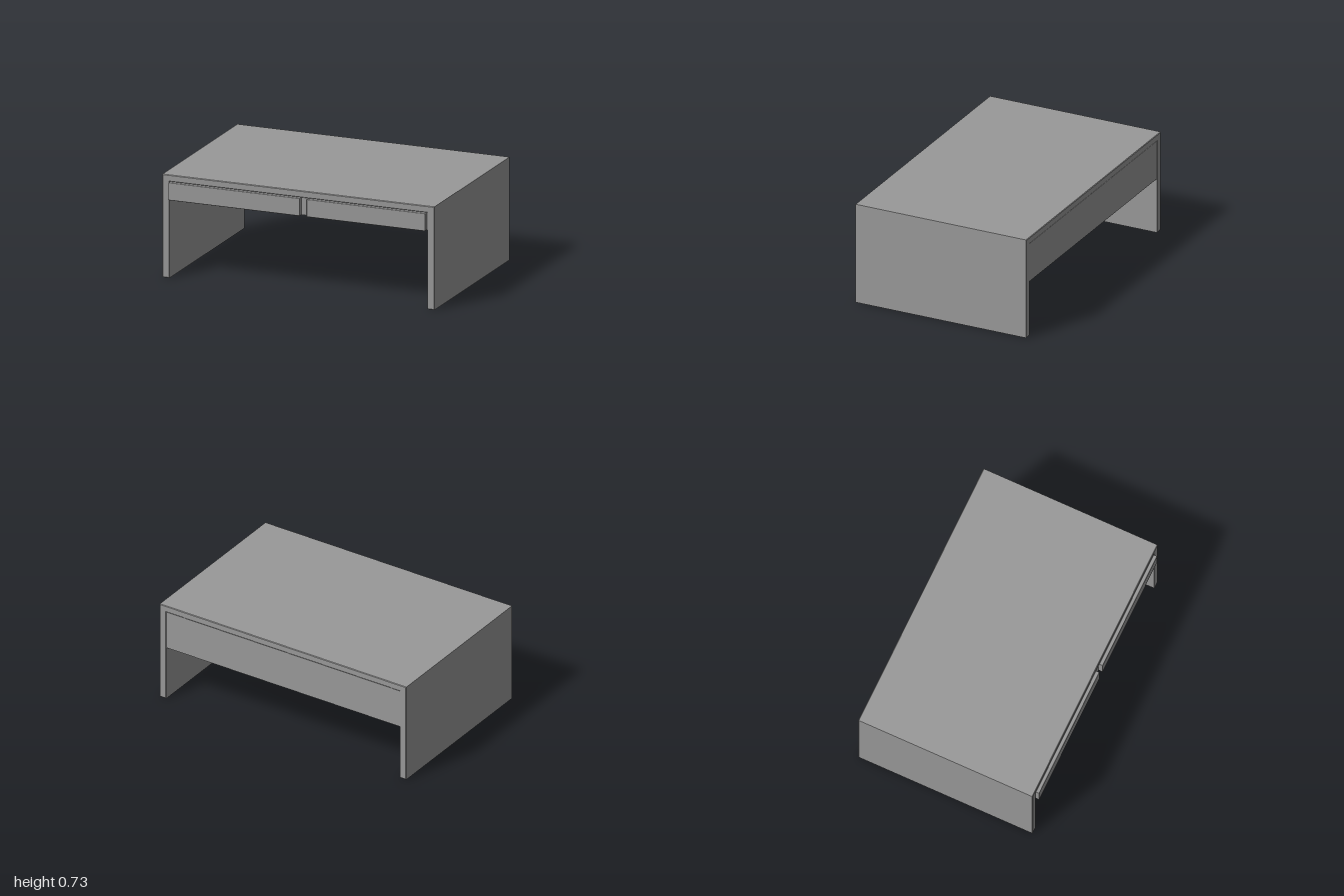
import * as THREE from 'three';
import { RoundedBoxGeometry } from 'three/addons/geometries/RoundedBoxGeometry.js';

export function createModel() {
  const group = new THREE.Group();
  const grey = new THREE.MeshStandardMaterial({ color: 0x999999 });
  grey.name = 'grey';

  const add = (name, geometry) => {
    const mesh = new THREE.Mesh(geometry, grey);
    mesh.name = name;
    group.add(mesh);
  };
  // Box given by its extents, with softened edges where bevel > 0
  const panel = (name, [x0, x1], [y0, y1], [z0, z1], bevel = 0) => {
    const size = [x1 - x0, y1 - y0, z1 - z0];
    const geometry = bevel
      ? new RoundedBoxGeometry(...size, 2, bevel)
      : new THREE.BoxGeometry(...size);
    geometry.translate((x0 + x1) / 2, (y0 + y1) / 2, (z0 + z1) / 2);
    add(name, geometry);
  };

  // Top and side panels as one bevelled arch, extruded front to back
  const b = 0.004, h = 0.727, inner = 0.947, under = 0.68;
  const arch = new THREE.Shape([
    [-1 + b, b], [-inner - b, b], [-inner - b, under + b], [inner + b, under + b],
    [inner + b, b], [1 - b, b], [1 - b, h - b], [-1 + b, h - b],
  ].map(([x, y]) => new THREE.Vector2(x, y)));
  const body = new THREE.ExtrudeGeometry(arch, {
    depth: 1.3 - 2 * b, bevelEnabled: true, bevelSize: b, bevelThickness: b, bevelSegments: 1,
  });
  body.translate(0, 0, -0.662 + b);
  add('topAndSides', body);

  // Deep back rail and the drawer compartment under the top
  panel('backRail', [-inner, inner], [0.4, under], [-0.66, -0.5]);
  panel('drawerCompartment', [-inner, inner], [0.557, under], [-0.5, 0.632]);

  // Two drawer fronts standing proud of the frame
  panel('rightDrawerFront', [-0.945, 0.02], [0.555, 0.68], [0.625, 0.662], 0.005);
  panel('leftDrawerFront', [0.07, 0.942], [0.555, 0.68], [0.625, 0.662], 0.005);

  return group;
}
